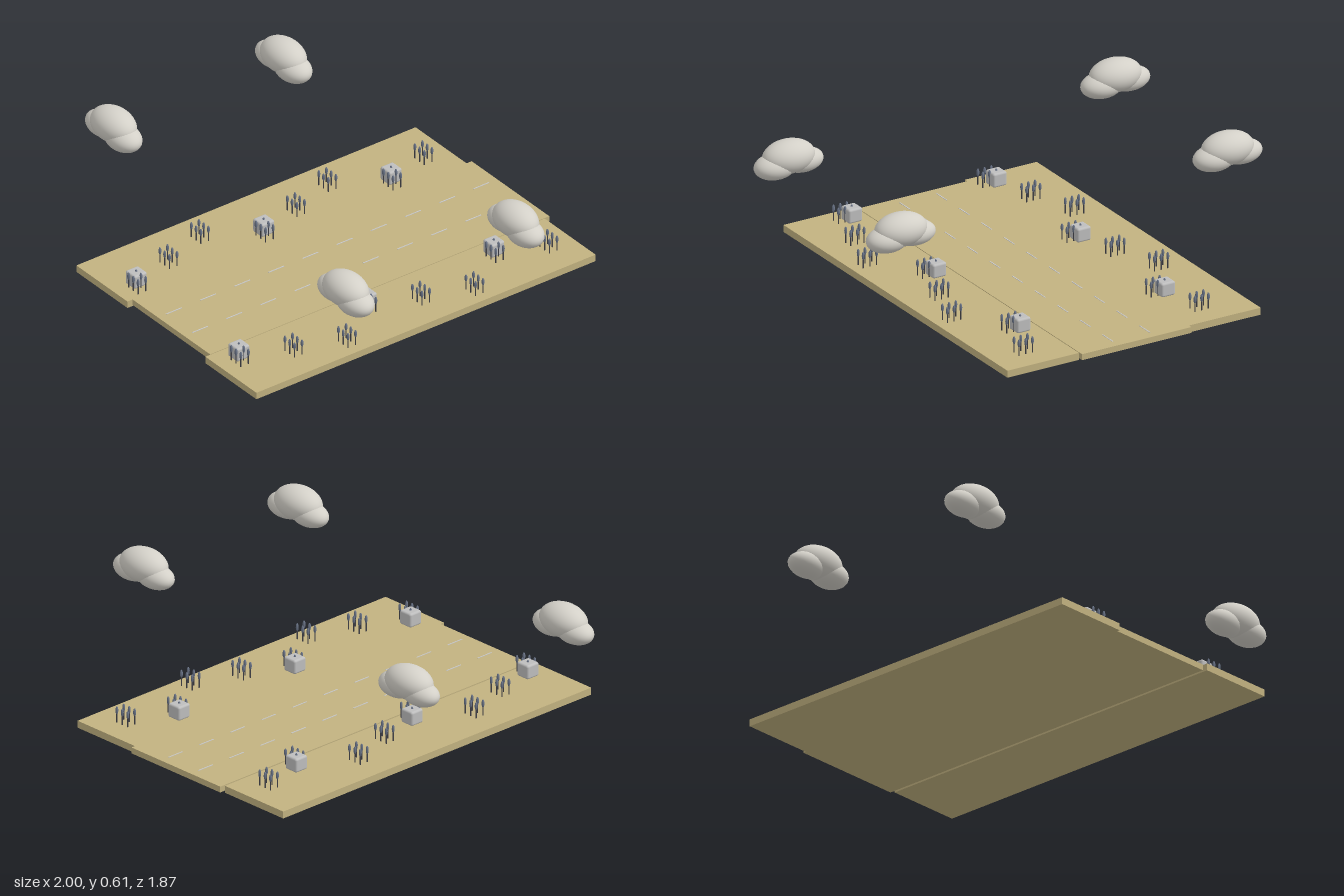
import * as THREE from 'three';
import { RoundedBoxGeometry } from 'three/addons/geometries/RoundedBoxGeometry.js';

const material = (name, color) => {
  const m = new THREE.MeshStandardMaterial({ color });
  m.name = name;
  return m;
};

export function createModel() {
  const model = new THREE.Group();
  model.name = 'desertRoad';

  const sand = material('sand', 0xc2b280);
  const paint = material('paleGrey', 0xc8c8c8);
  const stone = material('stoneGrey', 0xbebebe);
  const cloudWhite = material('cloudWhite', 0xd3d0c8);
  const slate = material('slate', 0x6a7488);
  const dark = material('darkGrey', 0x44444a);

  const add = (parent, name, geometry, mat, x, y, z) => {
    const mesh = new THREE.Mesh(geometry, mat);
    mesh.name = name;
    mesh.position.set(x, y, z);
    parent.add(mesh);
    return mesh;
  };

  // Road slab, slightly raised and shifted back from the verges
  add(model, 'road', new THREE.BoxGeometry(0.555, 0.028, 1.84), sand, 0.002, 0.022, -0.015);

  // Verges on both sides
  const vergeGeometry = new THREE.BoxGeometry(0.365, 0.033, 1.84);
  for (const side of [-1, 1]) {
    add(model, side < 0 ? 'rightVerge' : 'leftVerge', vergeGeometry, sand, side * 0.461, 0.0165, 0.01);
  }

  // Dashed lane lines
  const dashGeometry = new THREE.BoxGeometry(0.005, 0.002, 0.085);
  for (const x of [-0.092, 0.095]) {
    for (let i = 0; i < 10; i++) {
      add(model, 'laneDash', dashGeometry, paint, x, 0.0368, -0.848 + i * 0.1853);
    }
  }

  // Clumps of six stalks; every third clump grows around a block
  const stemGeometry = new THREE.CylinderGeometry(0.0028, 0.0028, 0.05, 8);
  const headGeometry = new THREE.SphereGeometry(1, 12, 8).scale(0.0065, 0.019, 0.0065);
  const blockGeometry = new RoundedBoxGeometry(0.07, 0.066, 0.07, 3, 0.01);
  const clumpX = [0.447, 0.367, 0.526];
  for (const side of [-1, 1]) {
    for (let i = 0; i < 8; i++) {
      const x = side * clumpX[i % 3];
      const z = -0.798 + i * 0.2305;
      const clump = new THREE.Group();
      clump.name = 'stalkClump';
      clump.position.set(x, 0.033, z);
      for (let c = 0; c < 3; c++) {
        for (let r = 0; r < 2; r++) {
          add(clump, 'stem', stemGeometry, dark, c * 0.034, 0.025, r * 0.041);
          add(clump, 'head', headGeometry, slate, c * 0.034, 0.057, r * 0.041);
        }
      }
      if (i % 3 === 1) add(clump, 'block', blockGeometry, stone, 0, 0.034, 0);
      model.add(clump);
    }
  }

  // Clouds made of three overlapping puffs
  const ball = new THREE.SphereGeometry(1, 32, 20);
  const puffs = [
    { at: [0, 0.53, 0], size: [0.125, 0.075, 0.087] },
    { at: [-0.07, 0.498, 0], size: [0.1, 0.054, 0.068] },
    { at: [0.068, 0.497, 0], size: [0.1, 0.057, 0.074] },
  ];
  for (const x of [-0.83, 0.83]) {
    for (const z of [-0.335, 0.587]) {
      const cloud = new THREE.Group();
      cloud.name = 'cloud';
      cloud.position.set(x, 0, z);
      for (const p of puffs) add(cloud, 'puff', ball, cloudWhite, ...p.at).scale.set(...p.size);
      model.add(cloud);
    }
  }

  return model;
}
